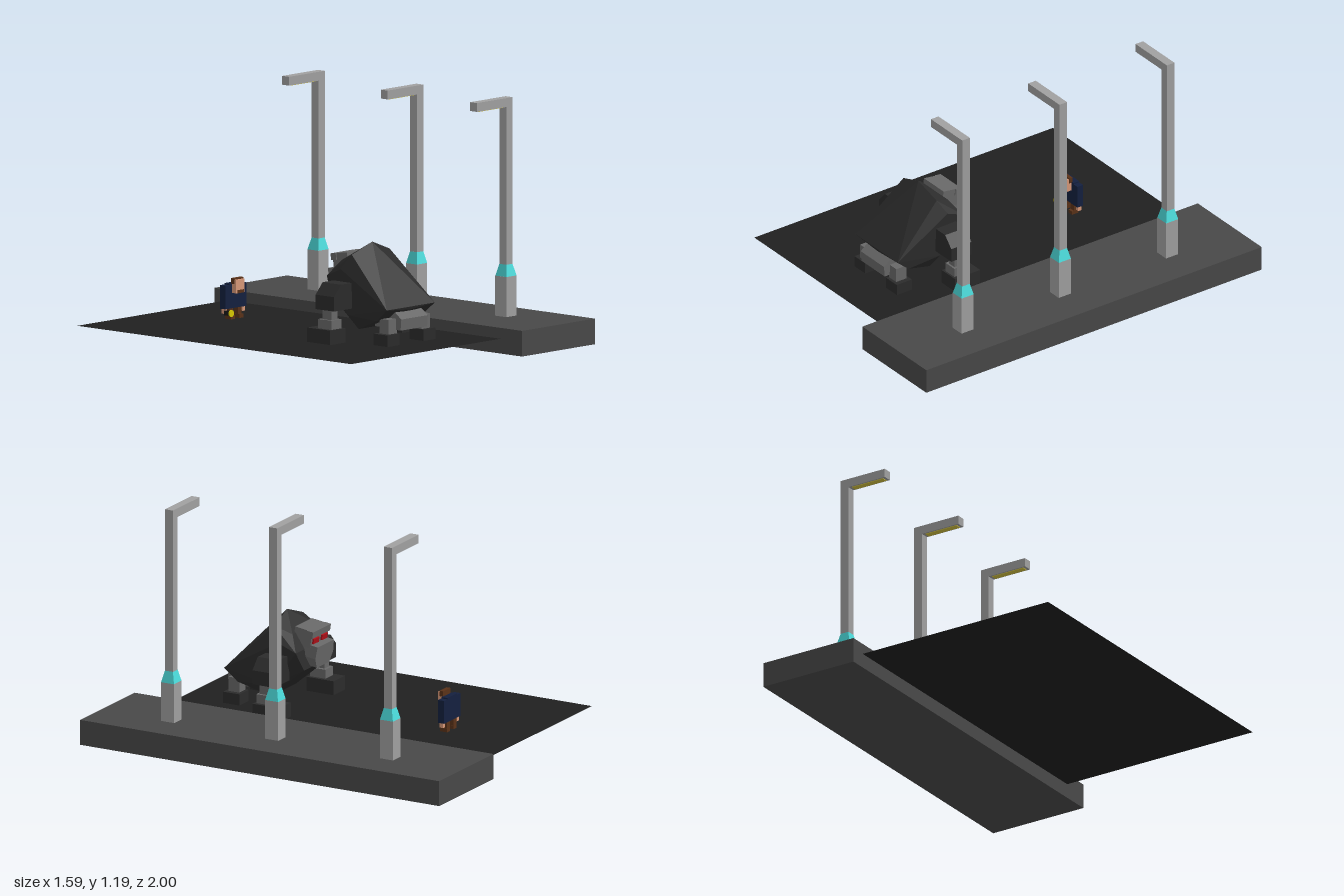
import * as THREE from 'three';
import { ConvexGeometry } from 'three/addons/geometries/ConvexGeometry.js';

const mat = (color) => new THREE.MeshStandardMaterial({ color, flatShading: true });
const M = {
  road: mat(0x202020), pavement: mat(0x484848), metal: mat(0xa0a0a0), cyan: mat(0x4bdada),
  lamp: mat(0xd0c040), fur: mat(0x2b2b2b), skin: mat(0x686868), red: mat(0xb01018),
  navy: mat(0x14203f), flesh: mat(0xd89878), brown: mat(0x5a3218), yellow: mat(0xd8c800),
  black: mat(0x181818),
};
M.road.side = THREE.DoubleSide;

function add(parent, name, geometry, material, x = 0, y = 0, z = 0) {
  const mesh = new THREE.Mesh(geometry, material);
  mesh.name = name;
  mesh.position.set(x, y, z);
  parent.add(mesh);
  return mesh;
}

// Box given by its limits on each axis
function box(parent, name, material, [x0, x1], [y0, y1], [z0, z1]) {
  return add(parent, name, new THREE.BoxGeometry(x1 - x0, y1 - y0, z1 - z0), material,
    (x0 + x1) / 2, (y0 + y1) / 2, (z0 + z1) / 2);
}

// Outline in x and y, extruded about z = 0
function slab(points, depth) {
  const shape = new THREE.Shape(points.map(([x, y]) => new THREE.Vector2(x, y)));
  return new THREE.ExtrudeGeometry(shape, { depth, bevelEnabled: false }).translate(0, 0, -depth / 2);
}

// Convex solid from points that are mirrored across x
function hull(points) {
  const all = points.flatMap(([x, y, z]) =>
    (x ? [x, -x] : [0]).map((sx) => new THREE.Vector3(sx, y, z)));
  return new ConvexGeometry(all);
}

function streetLamp(z) {
  const g = new THREE.Group();
  g.name = 'streetLamp';
  g.position.z = z;
  box(g, 'lampBase', M.metal, [0.54, 0.612], [0.125, 0.32], [-0.036, 0.036]);
  const collar = new THREE.CylinderGeometry(0.0225 * Math.SQRT2, 0.036 * Math.SQRT2, 0.057, 4).rotateY(Math.PI / 4);
  add(g, 'lampCollar', collar, M.cyan, 0.577, 0.3485, 0);
  box(g, 'lampPole', M.metal, [0.555, 0.6], [0.377, 1.188], [-0.0225, 0.0225]);
  box(g, 'lampArm', M.metal, [0.345, 0.555], [1.145, 1.188], [-0.0225, 0.0225]);
  box(g, 'lightPanel', M.lamp, [0.36, 0.54], [1.142, 1.146], [-0.015, 0.015]);
  return g;
}

function gorilla() {
  const g = new THREE.Group();
  g.name = 'gorilla';
  g.position.x = -0.115;

  // Hunched body, highest at the shoulders
  add(g, 'body', hull([
    [0, 0.54, 0.38], [0.135, 0.49, 0.37], [0.17, 0.42, 0.33],
    [0, 0.235, 0.625], [0.172, 0.25, 0.63], [0.165, 0.19, 0.56],
    [0.11, 0.455, 0.285], [0.165, 0.38, 0.235], [0.12, 0.285, 0.215],
    [0.12, 0.13, 0.4], [0.165, 0.2, 0.37],
  ]), M.fur);

  // Head, eyes and muzzle face -z
  const head = new THREE.Group();
  head.name = 'head';
  head.position.set(0, 0.435, 0.245);
  head.rotation.x = -0.14;
  g.add(head);
  box(head, 'skull', M.skin, [-0.08, 0.08], [-0.045, 0.045], [-0.046, 0.05]);
  box(head, 'brow', M.skin, [-0.085, 0.085], [0.012, 0.045], [-0.054, -0.02]);
  add(head, 'muzzle', slab([[-0.06, -0.135], [0.06, -0.135], [0.085, -0.085], [0.078, -0.025],
    [-0.078, -0.025], [-0.085, -0.085]], 0.09), M.skin, 0, 0, -0.04);
  for (const s of [-1, 1]) {
    add(head, 'eye', new THREE.BoxGeometry(0.052, 0.026, 0.012), M.red, s * 0.04, -0.008, -0.048);
  }

  // Hips
  add(g, 'pelvis', hull([[0.095, 0.24, 0.6], [0.095, 0.2, 0.655], [0.095, 0.145, 0.65],
    [0.09, 0.15, 0.48], [0.09, 0.22, 0.48]]), M.skin);

  // Limbs on both sides
  for (const s of [-1, 1]) {
    const side = (name, m, [a, b], y, z) => box(g, name, m, s > 0 ? [a, b] : [-b, -a], y, z);
    const arm = [[0.15, 0.235], [0.295, 0.235], [0.295, 0.305], [0.245, 0.36], [0.15, 0.36]];
    add(g, 'upperArm', slab(arm.map(([x, y]) => [x * s, y]), 0.12), M.fur, 0, 0, 0.34);
    side('forearm', M.skin, [0.237, 0.28], [0.185, 0.24], [0.31, 0.37]);
    side('wrist', M.skin, [0.22, 0.293], [0.14, 0.188], [0.295, 0.38]);
    side('hand', M.fur, [0.203, 0.312], [0.073, 0.143], [0.24, 0.39]);
    side('hindLeg', M.skin, [0.088, 0.147], [0.125, 0.2], [0.56, 0.62]);
    side('hindFoot', M.fur, [0.085, 0.172], [0.073, 0.129], [0.545, 0.635]);
  }
  return g;
}

function man() {
  const g = new THREE.Group();
  g.name = 'man';
  g.position.set(-0.111, 0, -0.526);
  box(g, 'torso', M.navy, [-0.045, 0.045], [0.125, 0.246], [-0.017, 0.017]);
  box(g, 'head', M.flesh, [-0.03, 0.03], [0.2, 0.265], [0.017, 0.046]);
  box(g, 'hair', M.brown, [-0.034, 0.034], [0.245, 0.272], [0.014, 0.034]);
  box(g, 'beard', M.brown, [-0.022, 0.022], [0.2, 0.215], [0.03, 0.049]);
  for (const s of [-1, 1]) {
    add(g, 'arm', new THREE.BoxGeometry(0.031, 0.115, 0.034), M.navy, s * 0.061, 0.182, 0);
    add(g, 'hand', new THREE.BoxGeometry(0.018, 0.025, 0.02), M.flesh, s * 0.065, 0.114, 0);
    add(g, 'leg', new THREE.BoxGeometry(0.025, 0.045, 0.028), M.brown, s * 0.031, 0.108, 0);
    add(g, 'shoe', new THREE.BoxGeometry(0.028, 0.018, 0.04), M.brown, s * 0.031, 0.082, 0.006);
  }
  // Carried lantern
  box(g, 'lanternBody', M.black, [-0.074, -0.05], [0.095, 0.117], [0.008, 0.04]);
  add(g, 'lanternLens', new THREE.CylinderGeometry(0.017, 0.017, 0.006, 12).rotateX(Math.PI / 2),
    M.yellow, -0.062, 0.106, 0.043);
  return g;
}

export function createModel() {
  const model = new THREE.Group();
  model.name = 'streetScene';
  add(model, 'road', new THREE.PlaneGeometry(1.08, 1.78).rotateX(-Math.PI / 2), M.road, -0.255, 0.072, -0.03);
  box(model, 'pavement', M.pavement, [0.275, 0.795], [0, 0.125], [-1, 1]);
  for (const z of [0.62, 0.04, -0.6]) model.add(streetLamp(z));
  model.add(gorilla(), man());
  return model;
}
